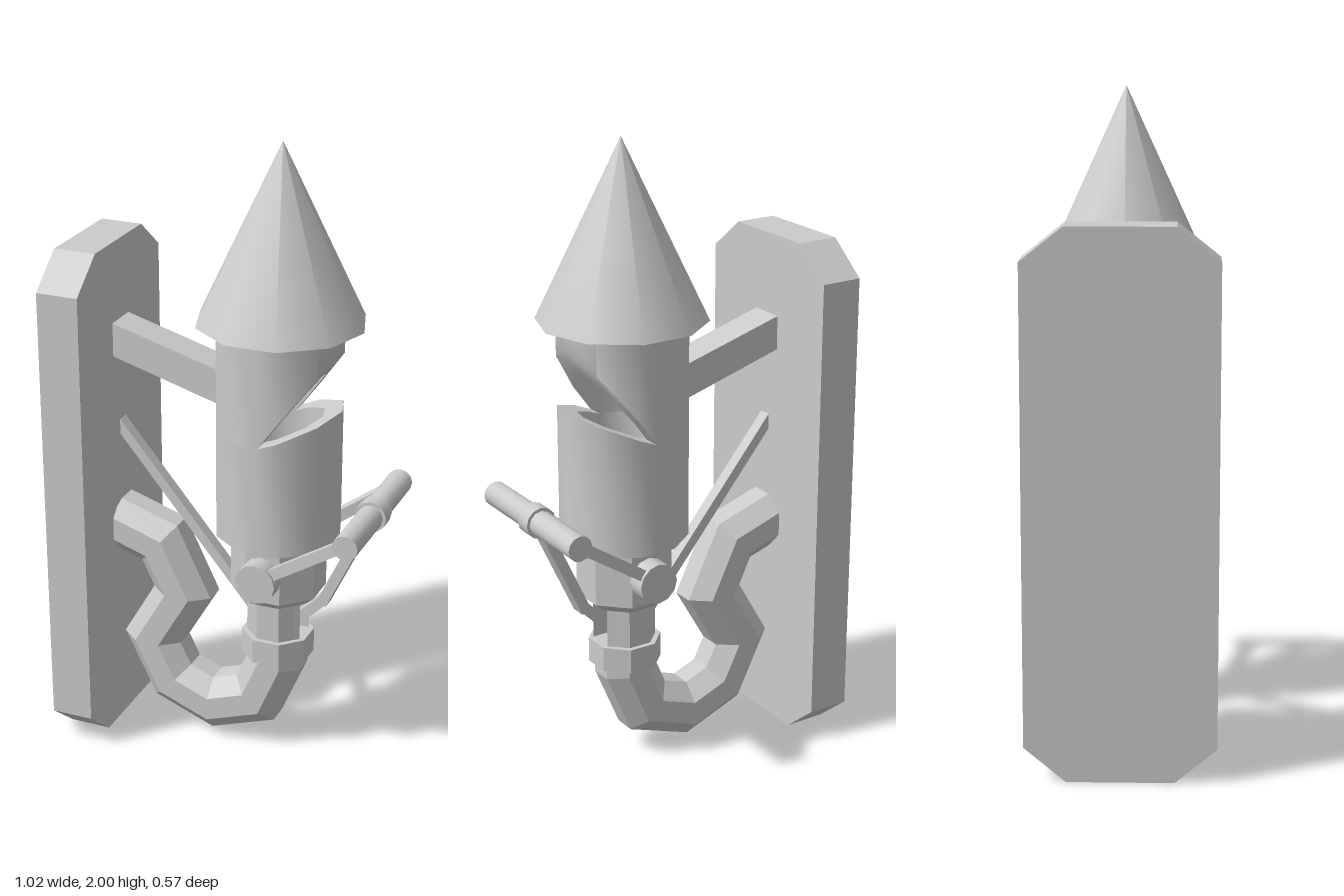
import * as THREE from 'three';
import { toCreasedNormals } from 'three/addons/utils/BufferGeometryUtils.js';

const CX = 0.152; // axis of the whistle
const smooth = new THREE.MeshStandardMaterial({ color: 0xcccccc });
const flat = new THREE.MeshStandardMaterial({ color: 0xcccccc, flatShading: true });

export function createModel() {
  const model = new THREE.Group();
  const add = (name, geometry, material = flat, x = 0, y = 0, z = 0) => {
    const mesh = new THREE.Mesh(geometry, material);
    mesh.name = name;
    mesh.position.set(x, y, z);
    model.add(mesh);
    return mesh;
  };

  // Outline in the xy plane, extruded symmetrically about z = 0
  const slab = (points, depth) => {
    const shape = new THREE.Shape(points.map(([x, y]) => new THREE.Vector2(x, y)));
    return new THREE.ExtrudeGeometry(shape, { depth, bevelEnabled: false }).translate(0, 0, -depth / 2);
  };

  // Straight bar of rectangular section between two points
  const bar = (name, a, b, width, height) => {
    const p = new THREE.Vector3(...a), q = new THREE.Vector3(...b);
    const mesh = add(name, new THREE.BoxGeometry(width, height, p.distanceTo(q)));
    mesh.position.copy(p).lerp(q, 0.5);
    mesh.lookAt(q);
  };

  // Upright octagon with flats on the axes
  const octagon = (name, rTop, rBottom, y0, y1) =>
    add(name, new THREE.CylinderGeometry(rTop, rBottom, y1 - y0, 8, 1, false, Math.PI / 8), flat, CX, (y0 + y1) / 2);

  // Cylinder lying along z
  const rod = (name, radius, length, x, y) =>
    add(name, toCreasedNormals(new THREE.CylinderGeometry(radius, radius, length, 12).rotateX(Math.PI / 2), 0.8), smooth, x, y);

  // Wall plate with clipped corners
  const plate = slab([[-0.16, 0], [0.16, 0], [0.285, 0.105], [0.285, 1.54], [0.16, 1.64],
    [-0.16, 1.64], [-0.285, 1.54], [-0.285, 0.105]], 0.135).rotateY(Math.PI / 2);
  add('wallPlate', plate, flat, -0.4475);

  // Upper bracket and thin diagonal stay
  add('bracket', slab([[-0.39, 1.28], [-0.03, 1.175], [-0.03, 1.285], [-0.39, 1.388]], 0.112));
  bar('diagonalStay', [-0.4, 1.052, 0], [0.08, 0.472, 0], 0.04, 0.032);

  // Conical cap
  add('coneCap', toCreasedNormals(new THREE.ConeGeometry(0.262, 0.55, 10, 1, false, Math.PI / 2), 0.8), smooth, CX, 1.725);

  // Hollow whistle body, in two halves that leave a wedge-shaped mouth
  const mouth = (slope) => (x) => 1.11 + Math.max(0, x) * slope;
  add('upperBody', tube(0.2, 0.14, mouth(1.375), () => 1.46), smooth, CX);
  add('lowerBody', tube(0.2, 0.14, () => 0.76, mouth(0.41)), smooth, CX);

  // Collar, slotted neck and ring
  octagon('collar', 0.15, 0.15, 0.57, 0.762);
  octagon('collarTaper', 0.15, 0.115, 0.54, 0.57);
  const outline = [[0.09, 0.05], [0.015, 0.05], [0.015, -0.05], [0.09, -0.05]];
  const neckPoints = [];
  for (let i = 0; i < 8; i++) {
    const a = (i + 0.5) * Math.PI / 4;
    neckPoints.push([0.098 * Math.cos(a), 0.098 * Math.sin(a)]);
  }
  neckPoints[0] = [0.075, 0.055];
  neckPoints[7] = [0.075, -0.055];
  outline[0] = [0.09, 0.042];
  outline[3] = [0.09, -0.042];
  outline[1][1] = 0.042;
  outline[2][1] = -0.042;
  const neck = slab([...neckPoints, outline[3], outline[2], outline[1], outline[0]], 0.16).rotateX(-Math.PI / 2);
  add('slottedNeck', neck, flat, CX, 0.48);
  octagon('neckRing', 0.115, 0.115, 0.33, 0.41);

  // Bent feed pipe
  add('feedPipe', sweptPipe([[0.154, 0.36], [0.154, 0.31], [0.09, 0.158], [-0.06, 0.105], [-0.2, 0.16],
    [-0.272, 0.305], [-0.165, 0.49], [-0.243, 0.652], [-0.4, 0.703]], 0.094));

  // Pivot, handle and lever linkage
  rod('pivot', 0.065, 0.395, 0.15, 0.66);
  rod('handle', 0.04, 0.512, 0.459, 0.872);
  rod('handleRing', 0.05, 0.056, 0.459, 0.872);
  for (const s of [-1, 1]) bar('handleArm', [0.15, 0.66, s * 0.16], [0.459, 0.872, s * 0.22], 0.036, 0.036);
  bar('leverUpper', [0.459, 0.872, 0], [0.305, 0.54, 0], 0.052, 0.034);
  bar('leverLower', [0.312, 0.555, 0], [0.2, 0.445, 0], 0.052, 0.034);

  return model;
}

// Ten-sided hollow tube whose lower and upper rims follow functions of x
function tube(outer, inner, bottom, top) {
  const ring = [];
  for (let i = 0; i < 10; i++) {
    const a = i * Math.PI / 5;
    ring.push([Math.cos(a), Math.sin(a)]);
    if (i === 2 || i === 7) ring.push([0, Math.sin(a)]); // point where the mouth begins
  }
  const corner = ([x, z], r, rim) => [x * r, rim(x * r), z * r];
  const positions = [];
  const quad = (a, b, c, d) => positions.push(...a, ...b, ...c, ...a, ...c, ...d);
  ring.forEach((p, i) => {
    const q = ring[(i + 1) % ring.length];
    const section = [[outer, bottom], [outer, top], [inner, top], [inner, bottom]];
    section.forEach(([r, rim], k) => {
      const [r2, rim2] = section[(k + 1) % 4];
      quad(corner(p, r, rim), corner(p, r2, rim2), corner(q, r2, rim2), corner(q, r, rim));
    });
  });
  const geometry = new THREE.BufferGeometry();
  geometry.setAttribute('position', new THREE.Float32BufferAttribute(positions, 3));
  return toCreasedNormals(geometry, 0.7);
}

// Octagonal pipe with mitred joints along a path in the xy plane
function sweptPipe(path, radius) {
  const pts = path.map(([x, y]) => new THREE.Vector2(x, y));
  const positions = [], index = [];
  pts.forEach((p, i) => {
    const before = p.clone().sub(pts[Math.max(i - 1, 0)]).normalize();
    const after = pts[Math.min(i + 1, pts.length - 1)].clone().sub(p).normalize();
    const along = before.clone().add(after).normalize();
    const stretch = 1 / along.dot(after.lengthSq() ? after : before);
    for (let k = 0; k < 8; k++) {
      const a = (k + 0.5) * Math.PI / 4;
      const side = radius * Math.cos(a) * stretch;
      positions.push(p.x - along.y * side, p.y + along.x * side, radius * Math.sin(a));
      if (i === 0) continue;
      const c = i * 8 + k, d = i * 8 + (k + 1) % 8;
      index.push(c - 8, d - 8, d, c - 8, d, c);
    }
  });
  const geometry = new THREE.BufferGeometry();
  geometry.setAttribute('position', new THREE.Float32BufferAttribute(positions, 3));
  geometry.setIndex(index);
  geometry.computeVertexNormals();
  return geometry;
}
